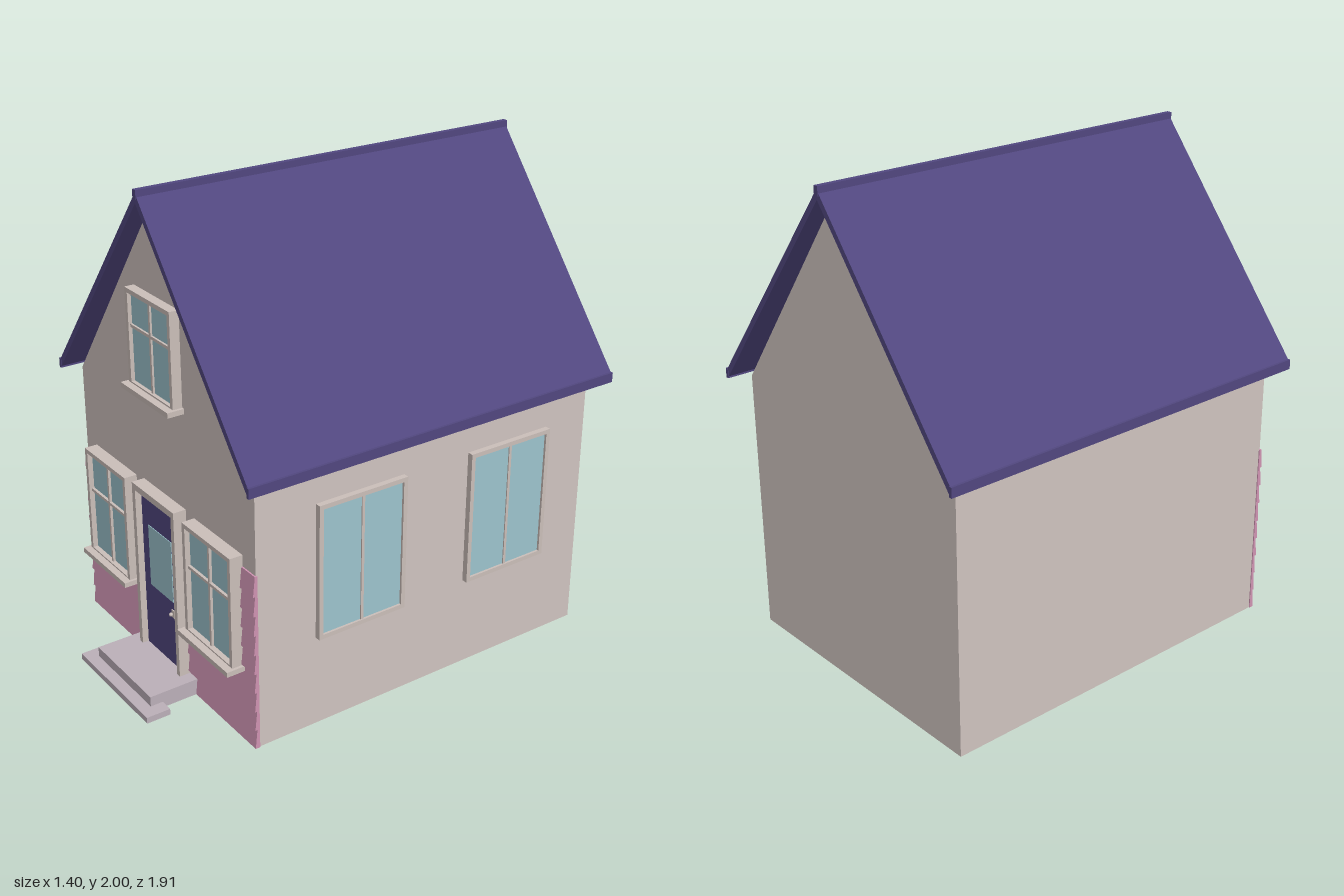
import * as THREE from 'three';

const mat = (name, color) => {
  const m = new THREE.MeshStandardMaterial({ color });
  m.name = name;
  return m;
};

export function createModel() {
  const wall = mat('wall plaster', 0xcfc3bf);
  const siding = mat('pink siding', 0xcf93b2);
  const roofing = mat('purple paint', 0x51477f);
  const trim = mat('trim', 0xcabeb9);
  const glass = mat('window glass', 0x9cc3cd);
  const stone = mat('step stone', 0xbbafb8);

  const house = new THREE.Group();
  house.name = 'house';

  // Box given by its minimum and maximum corners
  const box = (parent, name, material, x0, x1, y0, y1, z0, z1) => {
    const mesh = new THREE.Mesh(new THREE.BoxGeometry(x1 - x0, y1 - y0, z1 - z0), material);
    mesh.position.set((x0 + x1) / 2, (y0 + y1) / 2, (z0 + z1) / 2);
    mesh.name = name;
    parent.add(mesh);
    return mesh;
  };

  // Outline in x, y extruded from z0 to z1
  const prism = (points, z0, z1) => {
    const shape = new THREE.Shape(points.map(([x, y]) => new THREE.Vector2(x, y)));
    const geometry = new THREE.ExtrudeGeometry(shape, { depth: z1 - z0, bevelEnabled: false });
    return geometry.translate(0, 0, z0);
  };
  const add = (parent, name, geometry, material) => {
    const mesh = new THREE.Mesh(geometry, material);
    mesh.name = name;
    parent.add(mesh);
    return mesh;
  };

  // Walls with both gables
  add(house, 'walls', prism(
    [[-0.63, 0], [0.63, 0], [0.63, 1.1], [0, 1.945], [-0.63, 1.1]], -0.885, 0.69), wall);

  // Roof: folded slab, eave boards and ridge cap
  const roof = new THREE.Group();
  roof.name = 'roof';
  house.add(roof);
  add(roof, 'roofSlab', prism(
    [[0, 1.988], [-0.692, 1.128], [-0.692, 1.09], [0, 1.95], [0.692, 1.09], [0.692, 1.128]],
    -0.955, 0.755), roofing);
  for (const s of [-1, 1]) {
    const x = s * 0.693;
    box(roof, 'eaveBoard', roofing, x - 0.007, x + 0.007, 1.09, 1.13, -0.957, 0.757);
  }
  box(roof, 'ridgeCap', roofing, -0.011, 0.011, 1.965, 2, -0.958, 0.758);

  // Lapped boards: a sawtooth profile in z, y run across the front
  const rows = 9, pitch = 0.735 / rows;
  const profile = [[-0.685, 0]];
  for (let i = 0; i < rows; i++) {
    profile.push([-0.705, i * pitch], [-0.696, (i + 1) * pitch]);
  }
  profile.push([-0.685, 0.735]);
  const boards = prism(profile.reverse(), -0.634, 0.634);
  boards.rotateY(Math.PI / 2);
  add(house, 'siding', boards, siding);

  // Window facing +z, centred on x = 0, with its wall at z = 0
  const makeWindow = (name, w, y0, y1, depth, rail, sill) => {
    const g = new THREE.Group();
    g.name = name;
    const h = w / 2, f = 0.018, m = 0.006;
    box(g, 'glass', glass, -h + f, h - f, y0 + f, y1 - f, 0, depth * 0.6);
    for (const s of [-1, 1]) {
      const x = s * (h - f / 2);
      box(g, 'frameSide', trim, x - f / 2, x + f / 2, y0, y1, 0, depth);
    }
    box(g, 'frameTop', trim, -h + f, h - f, y1 - f, y1, 0, depth);
    box(g, 'frameBottom', trim, -h + f, h - f, y0, y0 + (sill ? 0.006 : f), 0, depth);
    if (sill) box(g, 'glassLower', glass, -h + f, h - f, y0 + 0.006, y0 + f, 0, depth * 0.6);
    box(g, 'mullion', trim, -m, m, y0 + 0.006, y1 - f, 0, depth * 0.8);
    if (rail) box(g, 'rail', trim, -h + f, h - f, rail - m, rail + m, 0, depth * 0.81);
    if (sill) box(g, 'sill', trim, -h - 0.012, h + 0.012, y0 - 0.021, y0, 0, depth + 0.03);
    house.add(g);
    return g;
  };

  // Front windows
  for (const s of [-1, 1]) {
    makeWindow('frontWindow', 0.33, 0.322, 0.782, 0.055, 0.597, true).position.set(s * 0.382, 0, 0.69);
  }
  makeWindow('gableWindow', 0.322, 1.212, 1.59, 0.04, 1.442, true).position.z = 0.69;

  // Windows on the left wall only
  for (const z of [0.23, -0.48]) {
    const w = makeWindow('sideWindow', 0.4, 0.382, 0.943, 0.024, 0, false);
    w.position.set(0.63, 0, z);
    w.rotation.y = Math.PI / 2;
  }

  // Door with its surround, glazing and handle
  const door = new THREE.Group();
  door.name = 'door';
  house.add(door);
  for (const s of [-1, 1]) {
    box(door, 'doorPost', trim, s * 0.146 - 0.011, s * 0.146 + 0.011, 0, 0.792, 0.68, 0.745);
  }
  box(door, 'doorLintel', trim, -0.135, 0.135, 0.765, 0.792, 0.68, 0.745);
  box(door, 'doorLeaf', roofing, -0.135, 0.135, 0.06, 0.765, 0.68, 0.718);
  box(door, 'doorGlass', glass, -0.086, 0.086, 0.36, 0.627, 0.716, 0.721);
  box(door, 'handlePlate', trim, 0.07, 0.09, 0.29, 0.324, 0.716, 0.722);
  const knob = add(door, 'knob', new THREE.SphereGeometry(0.008, 12, 8), trim);
  knob.position.set(0.08, 0.307, 0.73);

  // Steps
  box(house, 'upperStep', stone, -0.21, 0.21, 0, 0.068, 0.69, 0.908);
  box(house, 'lowerStep', stone, -0.266, 0.266, 0, 0.026, 0.855, 0.957);

  return house;
}
